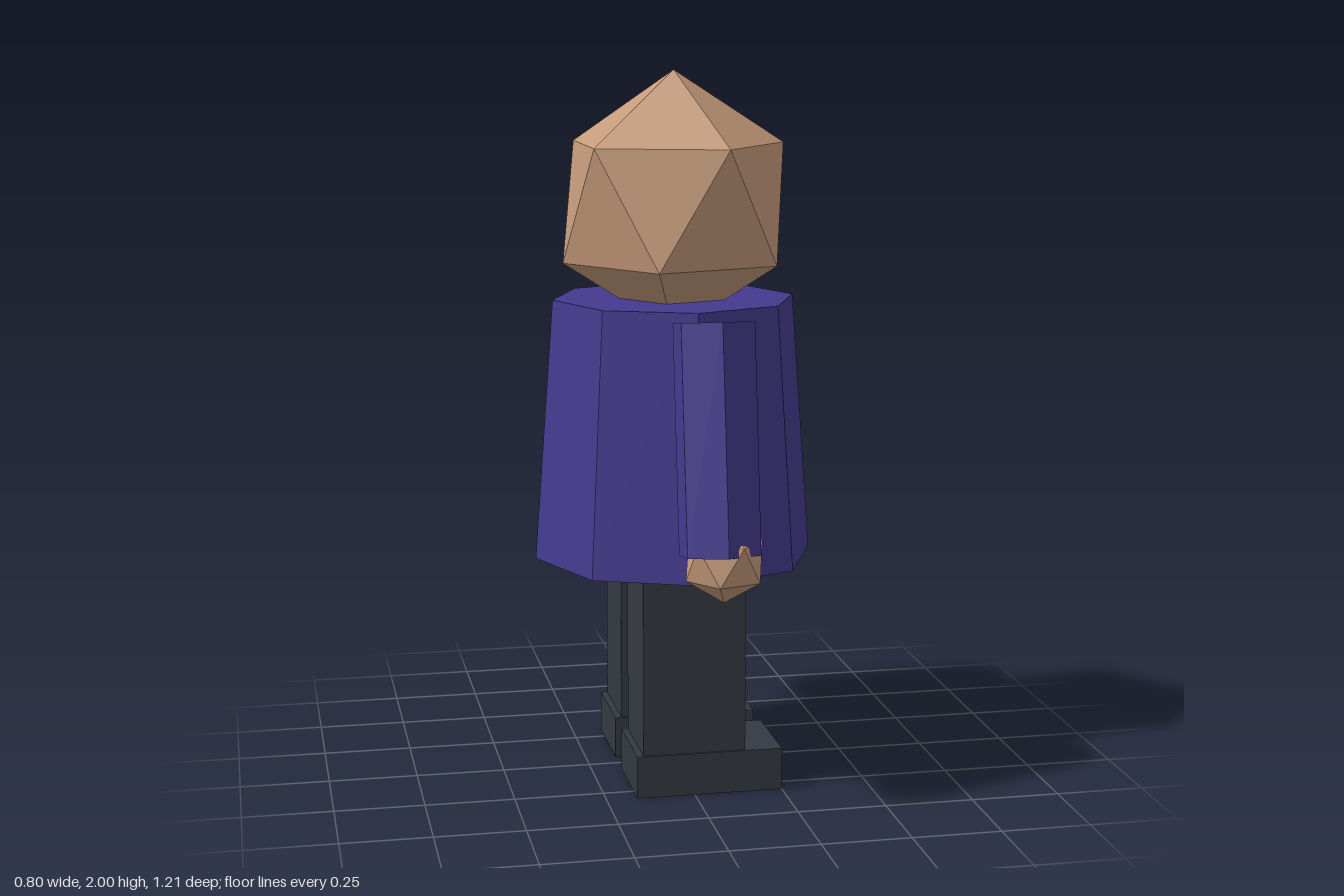
import * as THREE from 'three';

const mat = (color) => new THREE.MeshStandardMaterial({ color, flatShading: true });

export function createModel() {
  const model = new THREE.Group();
  const skin = mat(0xc49a7a);
  const coat = mat(0x443a8e);
  const dark = mat(0x343a42);

  const add = (name, geometry, material, x, y, z) => {
    const mesh = new THREE.Mesh(geometry, material);
    mesh.name = name;
    mesh.position.set(x, y, z);
    model.add(mesh);
    return mesh;
  };

  // Icosahedron standing on one corner, with an upper corner towards +x
  const ball = (radius, height) =>
    new THREE.IcosahedronGeometry(1, 0)
      .rotateZ(-Math.atan(2 / (1 + Math.sqrt(5))))
      .scale(radius, height, radius);

  // Head and eight-sided coat
  add('head', ball(0.352, 0.368), skin, 0, 1.632, 0);
  add('coat', new THREE.CylinderGeometry(0.345, 0.4, 0.74, 8), coat, 0, 0.995, 0);

  // Limbs, mirrored across z (the toes point along +x)
  for (const [side, s] of [['front', 1], ['back', -1]]) {
    // Six-sided sleeve, leaning outwards at the bottom
    const sleeve = add(side + 'Sleeve', new THREE.CylinderGeometry(0.1155, 0.1155, 0.622, 6),
      coat, 0.03, 1.04, s * 0.446);
    sleeve.rotation.x = -s * 0.145;

    add(side + 'Hand', ball(0.117, 0.118), skin, 0.042, 0.718, s * 0.49);
    add(side + 'Leg', new THREE.BoxGeometry(0.29, 0.56, 0.25), dark, 0, 0.38, s * 0.18);
    add(side + 'Shoe', new THREE.BoxGeometry(0.413, 0.12, 0.262), dark, 0.043, 0.06, s * 0.18);
  }
  return model;
}
